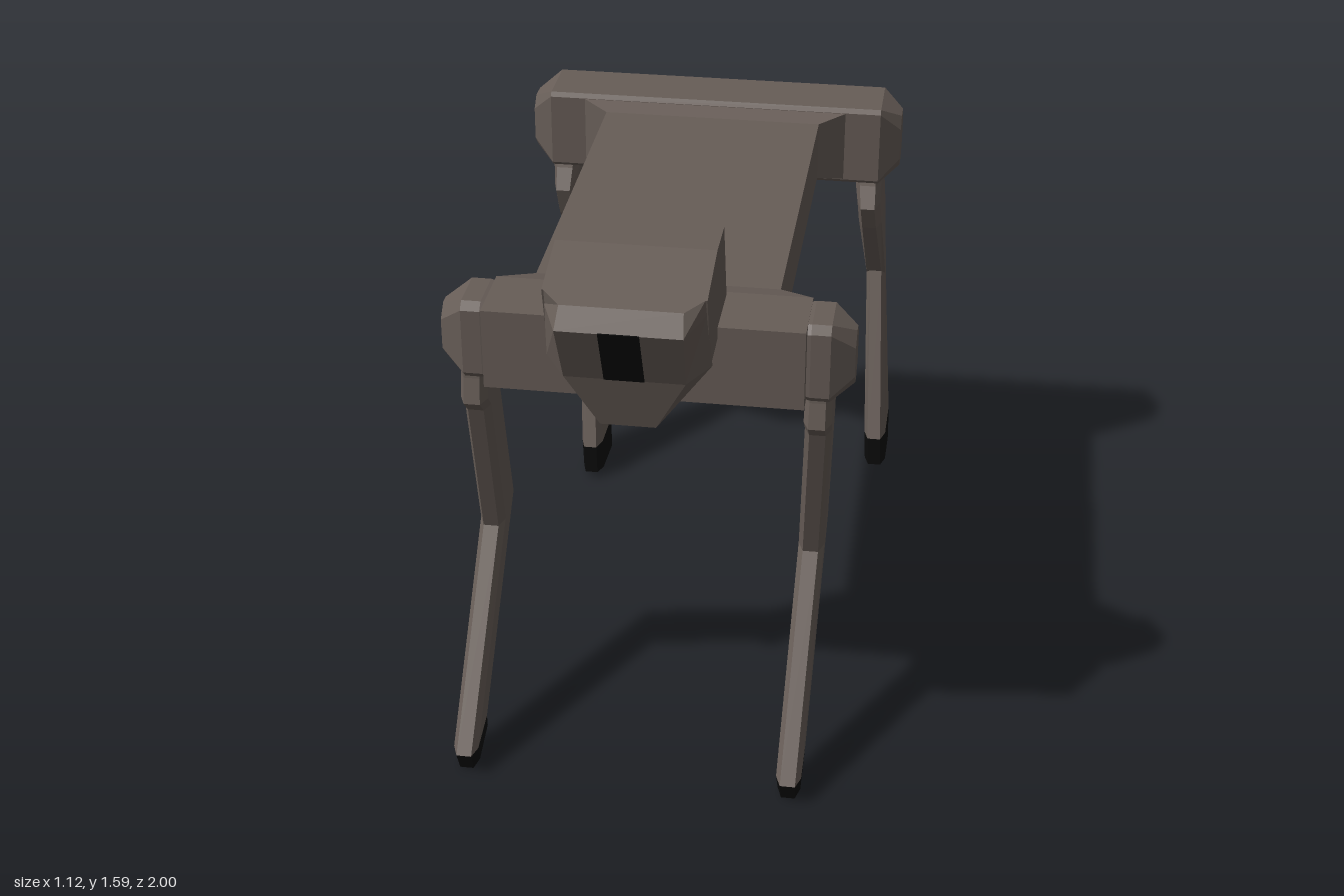
import * as THREE from 'three';

const shell = new THREE.MeshStandardMaterial({ color: 0x675d57, flatShading: true });
const black = new THREE.MeshStandardMaterial({ color: 0x0a0a0a, flatShading: true });

// Closed faceted solid through a list of rings with equal point counts
function loft(name, rings, material = shell) {
  const tris = [];
  const n = rings[0].length;
  for (let r = 0; r < rings.length - 1; r++) {
    for (let i = 0; i < n; i++) {
      const j = (i + 1) % n, A = rings[r], B = rings[r + 1];
      tris.push([A[i], A[j], B[j]], [A[i], B[j], B[i]]);
    }
  }
  const first = rings[0], last = rings[rings.length - 1];
  for (let i = 1; i < n - 1; i++) {
    tris.push([first[0], first[i + 1], first[i]], [last[0], last[i], last[i + 1]]);
  }
  // Signed volume tells whether the winding must be turned outward
  const c = new THREE.Vector3(...first[0]);
  let volume = 0;
  for (const t of tris) {
    const [a, b, d] = t.map((p) => new THREE.Vector3(...p).sub(c));
    volume += a.dot(b.cross(d));
  }
  if (volume < 0) tris.forEach((t) => t.reverse());
  const geo = new THREE.BufferGeometry();
  geo.setAttribute('position', new THREE.Float32BufferAttribute(tris.flat(2), 3));
  geo.computeVertexNormals();
  const mesh = new THREE.Mesh(geo, material);
  mesh.name = name;
  return mesh;
}

// Rectangle across the body at depth z
const slabRing = (z, w, y0, y1) => [[-w, y0, z], [w, y0, z], [w, y1, z], [-w, y1, z]];

// Bevelled rectangle in the y-z plane at x
function bevelRing(x, z0, z1, y0, y1, c) {
  return [[z0 + c, y0], [z1 - c, y0], [z1, y0 + c], [z1, y1 - c],
    [z1 - c, y1], [z0 + c, y1], [z0, y1 - c], [z0, y0 + c]].map(([z, y]) => [x, y, z]);
}

// Leg cross-section: full width at the back, bevelled at the front
function legRing([x, zf, yf, zb, yb, w]) {
  const at = (t, s) => [x + s * w, yb + (yf - yb) * t, zb + (zf - zb) * t];
  return [at(0, -1), at(0, 1), at(0.78, 1), at(1, 0.6), at(1, -0.6), at(0.78, -1)];
}

// Leg stations run from hip to ankle; the last one is the sole
function makeLeg(name, stations) {
  const leg = new THREE.Group();
  leg.name = name;
  const rings = stations.map(legRing);
  leg.add(loft('limb', rings.slice(0, -1)), loft('foot', rings.slice(-2), black));
  return leg;
}

// Level of the face plate: back pair and front pair of corners
const faceRing = (wb, yb, zb, wf, yf, zf) =>
  [[-wb, yb, zb], [wb, yb, zb], [wf, yf, zf], [-wf, yf, zf]];

function makeHead() {
  const head = new THREE.Group();
  head.name = 'head';
  const profile = [[0.54, 1.35], [0.605, 1.59], [0.733, 1.59], [0.91, 1.545], [0.85, 1.33]];
  head.add(loft('skull', [-0.2, 0.2].map((x) => profile.map(([z, y]) => [x, y, z]))));
  head.add(loft('facePlate', [
    faceRing(0.195, 1.545, 0.91, 0.15, 1.533, 0.957),
    faceRing(0.198, 1.5, 0.895, 0.155, 1.485, 1.0),
    faceRing(0.205, 1.335, 0.85, 0.15, 1.32, 0.925),
    faceRing(0.07, 1.175, 0.82, 0.07, 1.165, 0.88),
  ]));
  head.add(loft('visor', [
    faceRing(0.05, 1.488, 0.98, 0.05, 1.486, 1.003),
    faceRing(0.05, 1.322, 0.905, 0.05, 1.32, 0.928),
  ], black));
  head.position.x = -0.01;
  return head;
}

export function createModel() {
  const model = new THREE.Group();
  model.name = 'quadrupedRobot';

  // Torso flaring out to the shoulder block and the hip bar
  model.add(loft('torso', [
    slabRing(0.72, 0.41, 1.15, 1.37),
    slabRing(0.53, 0.41, 1.15, 1.37),
    slabRing(0.46, 0.32, 1.175, 1.35),
    slabRing(-0.6, 0.32, 1.175, 1.35),
    slabRing(-0.66, 0.41, 1.15, 1.37),
  ]));
  model.add(loft('hipBar', [
    [-0.56, 0.04], [-0.5, 0], [0.5, 0], [0.56, 0.04],
  ].map(([x, d]) => bevelRing(x, -0.85 + d, -0.65 - d, 1.14 + d, 1.38 - d, 0.012 + d * 0.5))));

  for (const s of [-1, 1]) {
    const side = s > 0 ? 'left' : 'right';
    // Shoulder joint
    model.add(loft(side + 'Shoulder', [
      [0.36, 0.01], [0.42, 0], [0.47, 0], [0.53, 0.035],
    ].map(([x, d]) => bevelRing(s * x, 0.525 + d, 0.69 - d, 1.15 + d, 1.37 - d, 0.02 + d * 0.4))));

    // Belly sensor
    const sensor = new THREE.Mesh(new THREE.BoxGeometry(0.11, 0.09, 0.14), shell);
    sensor.name = side + 'BellySensor';
    sensor.position.set(s * 0.105 - 0.01, 1.145, 0.2);
    model.add(sensor);
  }

  model.add(makeHead());

  // Front legs: hip, thigh, knee, ankle, sole
  const frontLeg = (name, hipX, kneeX, footX) => makeLeg(name, [
    [hipX, 0.66, 1.2, 0.55, 1.2, 0.04],
    [hipX, 0.665, 1.14, 0.525, 1.12, 0.035],
    [hipX, 0.68, 1.07, 0.525, 1.08, 0.036],
    [hipX, 0.64, 1.03, 0.51, 1.05, 0.035],
    [kneeX, 0.48, 0.56, 0.34, 0.59, 0.035],
    [footX, 0.88, 0.065, 0.735, 0.095, 0.034],
    [footX, 0.855, 0.005, 0.72, 0.05, 0.031],
  ]);
  model.add(frontLeg('frontLeftLeg', 0.44, 0.42, 0.41));
  model.add(frontLeg('frontRightLeg', -0.455, -0.47, -0.48));

  // Rear legs, each in its own stance
  model.add(makeLeg('rearLeftLeg', [
    [0.46, -0.69, 1.2, -0.83, 1.2, 0.045],
    [0.47, -0.66, 1.13, -0.85, 1.12, 0.04],
    [0.475, -0.62, 1.07, -0.86, 1.08, 0.035],
    [0.48, -0.66, 0.99, -0.875, 1.0, 0.035],
    [0.495, -0.9, 0.72, -1.0, 0.645, 0.03],
    [0.525, -0.69, 0.215, -0.915, 0.205, 0.034],
    [0.53, -0.68, 0.125, -0.89, 0.11, 0.033],
  ]));
  model.add(makeLeg('rearRightLeg', [
    [-0.46, -0.69, 1.2, -0.83, 1.2, 0.045],
    [-0.465, -0.66, 1.13, -0.85, 1.12, 0.04],
    [-0.465, -0.62, 1.07, -0.85, 1.08, 0.035],
    [-0.46, -0.65, 0.98, -0.86, 1.0, 0.035],
    [-0.445, -0.87, 0.665, -0.96, 0.6, 0.03],
    [-0.41, -0.675, 0.11, -0.89, 0.1, 0.034],
    [-0.405, -0.665, 0.02, -0.87, 0.0, 0.033],
  ]));

  return model;
}
